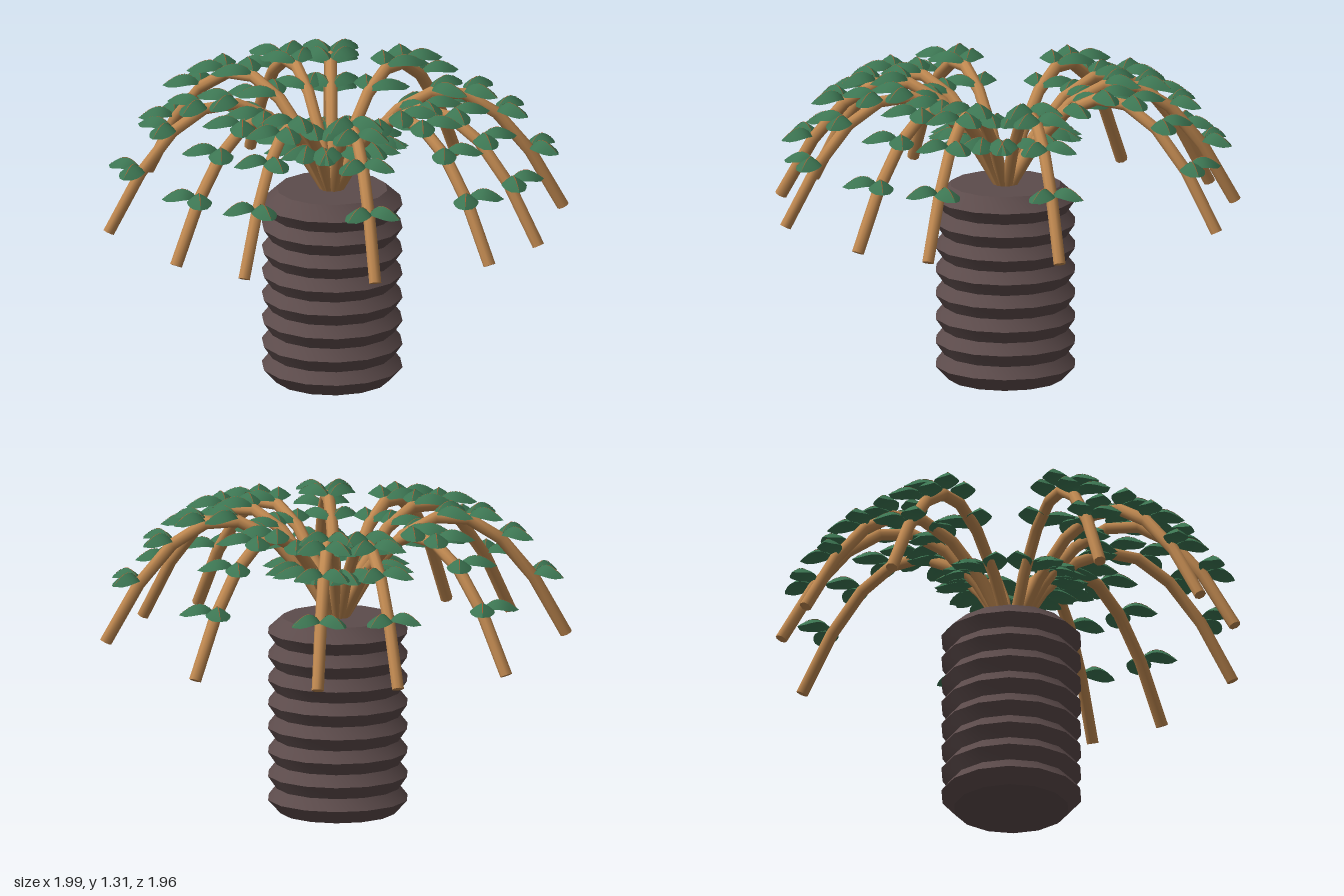
import * as THREE from 'three';
import { toCreasedNormals } from 'three/addons/utils/BufferGeometryUtils.js';

const trunkBrown = new THREE.MeshStandardMaterial({ color: 0x5c4b4b, name: 'trunk brown' });
const stemTan = new THREE.MeshStandardMaterial({ color: 0xbf8850, name: 'stem tan' });
const leafGreen = new THREE.MeshStandardMaterial({ color: 0x3c7552, name: 'leaf green', side: THREE.DoubleSide });
const veinRust = new THREE.MeshStandardMaterial({ color: 0xa05a30, name: 'vein rust', side: THREE.DoubleSide });

const SEGMENTS = 7;
const REACH = 0.978;
const STEM_RADIUS = 0.026;

// Arching spine of a frond: radial distance and height at t = 0..1
const spine = (t) => {
  const s = t * SEGMENTS;
  return new THREE.Vector2(REACH * t, 0.8 + 0.27 * s - 0.04 * s * s);
};

// Trunk: stacked rings with a sharp waist between them
function trunkGeometry() {
  const rings = 8, step = 0.103;
  const profile = [new THREE.Vector2(0, 0), new THREE.Vector2(0.245, 0)];
  for (let i = 0; i < rings; i++) {
    profile.push(new THREE.Vector2(0.3, i * step + 0.06));
    if (i < rings - 1) profile.push(new THREE.Vector2(0.262, (i + 1) * step + 0.005));
  }
  profile.push(new THREE.Vector2(0.235, 0.84), new THREE.Vector2(0, 0.84));
  return toCreasedNormals(new THREE.LatheGeometry(profile, 14), 0.6);
}

// Stem: a capped cylinder bent along the spine
function stemGeometry() {
  const geo = new THREE.CylinderGeometry(STEM_RADIUS, STEM_RADIUS, 1, 8, SEGMENTS);
  const p = geo.attributes.position;
  for (let i = 0; i < p.count; i++) {
    const t = p.getY(i) + 0.5;
    const a = spine(t - 0.01), b = spine(t + 0.01), c = spine(t);
    const dir = b.sub(a).normalize();
    const off = p.getX(i);
    p.setXYZ(i, c.x + off * dir.y, c.y - off * dir.x, p.getZ(i));
  }
  return toCreasedNormals(geo, 0.9);
}

// Leaf surface along +x: ridge arched lengthwise, sides folded down
function leafGeometry(length, halfWidth, lift, fold, across) {
  const geo = new THREE.PlaneGeometry(1, 2, 7, across);
  const p = geo.attributes.position;
  for (let i = 0; i < p.count; i++) {
    const u = p.getX(i) + 0.5, v = p.getY(i);
    const w = Math.pow(Math.sin(Math.PI * Math.min(u, 0.999)), 0.7);
    const ridge = 0.012 + 0.046 * Math.sin(Math.PI * Math.pow(u, 0.85));
    p.setXYZ(i, u * length, ridge + lift - fold * w * Math.pow(Math.abs(v), 1.3), -v * halfWidth * w);
  }
  return toCreasedNormals(geo, 0.5);
}

export function createModel() {
  const model = new THREE.Group();
  model.name = 'pottedPalm';
  const add = (parent, geo, mat, name) => {
    const mesh = new THREE.Mesh(geo, mat);
    mesh.name = name;
    parent.add(mesh);
    return mesh;
  };
  const plant = new THREE.Group();
  plant.name = 'plant';
  plant.position.set(-0.005, 0, -0.012);
  model.add(plant);

  add(plant, trunkGeometry(), trunkBrown, 'trunk');

  // Leaf sizes shrink and spread wider toward the frond tip
  const stemGeo = stemGeometry();
  const leaves = [];
  for (let i = 1; i < SEGMENTS; i++) {
    const k = (i - 1) / (SEGMENTS - 2);
    const length = 0.2 - 0.045 * k;
    leaves.push({
      at: spine(i / SEGMENTS),
      angle: THREE.MathUtils.degToRad(34 + 12 * k),
      blade: leafGeometry(length, 0.053, 0, 0.036, 4),
      vein: leafGeometry(length, 0.002, 0.001, 0, 1),
    });
  }

  // Fronds, by compass angle in degrees
  const angles = [-105, -53, -20, 0, 32, 65, 85, 117, 170.5, 202, 222];
  for (const deg of angles) {
    const frond = new THREE.Group();
    frond.name = 'frond';
    frond.rotation.y = -THREE.MathUtils.degToRad(deg);
    plant.add(frond);
    add(frond, stemGeo, stemTan, 'stem');
    for (const { at, angle, blade, vein } of leaves) {
      for (const side of [-1, 1]) {
        const leaf = new THREE.Group();
        leaf.name = side < 0 ? 'leafLeft' : 'leafRight';
        leaf.position.set(at.x, at.y, 0);
        leaf.rotation.y = side * angle;
        frond.add(leaf);
        add(leaf, blade, leafGreen, 'leafBlade');
        add(leaf, vein, veinRust, 'leafVein');
      }
    }
  }
  return model;
}
